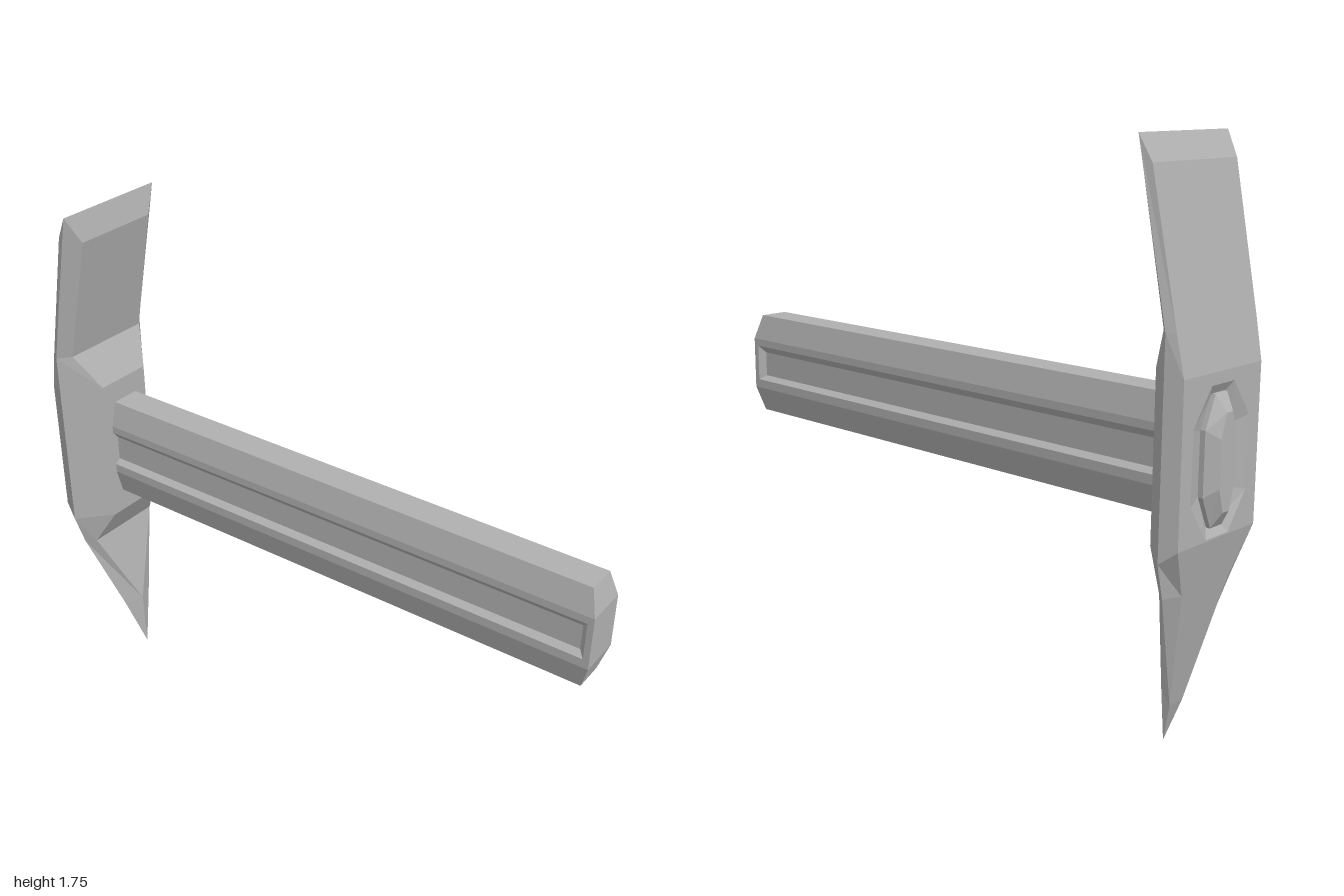
import * as THREE from 'three';

// Completes a half ring (+x side) with its mirror image
const mirrorRing = half => [...half, ...half.slice().reverse().map(([x, y, z]) => [-x, y, z])];

// Skins a row of mirrored half rings; cap closes the first or last one, skip(i, j) leaves a facet open
function loft(halves, { capStart = false, capEnd = false, skip = () => false } = {}) {
  const rings = halves.map(mirrorRing), n = rings[0].length, pos = [];
  const quad = (a, b, c, d) => pos.push(...a, ...b, ...c, ...a, ...c, ...d);
  for (let i = 0; i < rings.length - 1; i++) {
    for (let j = 0; j < n; j++) {
      if (skip(i, j)) continue;
      const k = (j + 1) % n;
      quad(rings[i][j], rings[i + 1][j], rings[i + 1][k], rings[i][k]);
    }
  }
  const cap = (r, flip) => {
    for (let j = 0; j < n / 2 - 1; j++) {
      const q = [r[j], r[n - 1 - j], r[n - 2 - j], r[j + 1]];
      quad(...(flip ? q.reverse() : q));
    }
  };
  if (capStart) cap(rings[0], true);
  if (capEnd) cap(rings[rings.length - 1], false);
  const geo = new THREE.BufferGeometry();
  geo.setAttribute('position', new THREE.Float32BufferAttribute(pos, 3));
  geo.computeVertexNormals();
  return geo;
}

export function createModel() {
  const group = new THREE.Group();
  const steel = new THREE.MeshStandardMaterial({ color: 0xb0b0b0, flatShading: true });
  steel.name = 'grey steel';
  const add = (name, geo) => {
    const mesh = new THREE.Mesh(geo, steel);
    mesh.name = name;
    group.add(mesh);
  };
  const cy = 0.88; // height of the handle axis

  // Head, from chisel edge down to spike point: front, side and back corners
  const chisel = [0.2, 1.755, -0.82], point = [0, 0, -0.82];
  add('head', loft([
    [chisel, chisel, chisel],
    [[0.15, 1.665, -0.8], chisel, [0.19, 1.68, -0.86]],
    [[0.16, 1.25, -0.89], [0.2, 1.25, -0.925], [0.185, 1.25, -0.95]],
    [[0.1, 1.13, -0.825], [0.2, 1.13, -0.925], [0.18, 1.13, -0.975]],
    [[0.1, 0.625, -0.825], [0.2, 0.62, -0.925], [0.18, 0.66, -0.975]],
    [[0.14, 0.51, -0.89], [0.167, 0.51, -0.92], [0.11, 0.51, -0.943]],
    [[0, 0.2, -0.825], [0.064, 0.2, -0.853], [0.03, 0.13, -0.86]],
    [point, point, point],
  ], { skip: (i, j) => i === 3 && j === 2 }));

  // Elongated outline used by the socket and the handle tip
  const oval = (w, h, z) => [[0.4 * w, cy + h, z], [w, cy + 0.5 * h, z], [w, cy - 0.5 * h, z], [0.4 * w, cy - h, z]];

  // Back plate of the head with the socket opening
  const toPoints = list => list.map(([x, y]) => new THREE.Vector2(x, y));
  const plate = new THREE.Shape(toPoints([[-0.18, 0.66], [0.18, 0.66], [0.18, 1.13], [-0.18, 1.13]]));
  plate.holes.push(new THREE.Path(toPoints(mirrorRing(oval(0.13, 0.215, 0)))));
  add('backPlate', new THREE.ShapeGeometry(plate).rotateY(Math.PI).translate(0, 0, -0.975));
  add('socket', loft([oval(0.07, 0.18, -0.955), oval(0.13, 0.215, -0.975)]));

  // Handle tip standing out of the back
  add('handleTip', loft([oval(0.035, 0.14, -1), oval(0.068, 0.188, -0.97), oval(0.07, 0.19, -0.94)], { capStart: true }));

  // Handle with a shallow groove on each side and a bevelled butt
  const section = (z, zEdge, depth) => {
    const d = 0.072 - depth;
    return [
      [0.05, 1.055, zEdge], [0.072, 0.97, z], [0.072, 0.945, z], [d, depth ? 0.92 : 0.945, z],
      [d, depth ? 0.835 : 0.82, z], [0.072, 0.82, z], [0.072, 0.79, z], [0.05, 0.705, zEdge],
    ];
  };
  add('handle', loft([
    section(-0.93, -0.93, 0.02),
    section(0.96, 0.95, 0.02),
    section(0.98, 0.965, 0),
    section(1, 0.975, 0),
  ], { capEnd: true }));

  return group;
}
